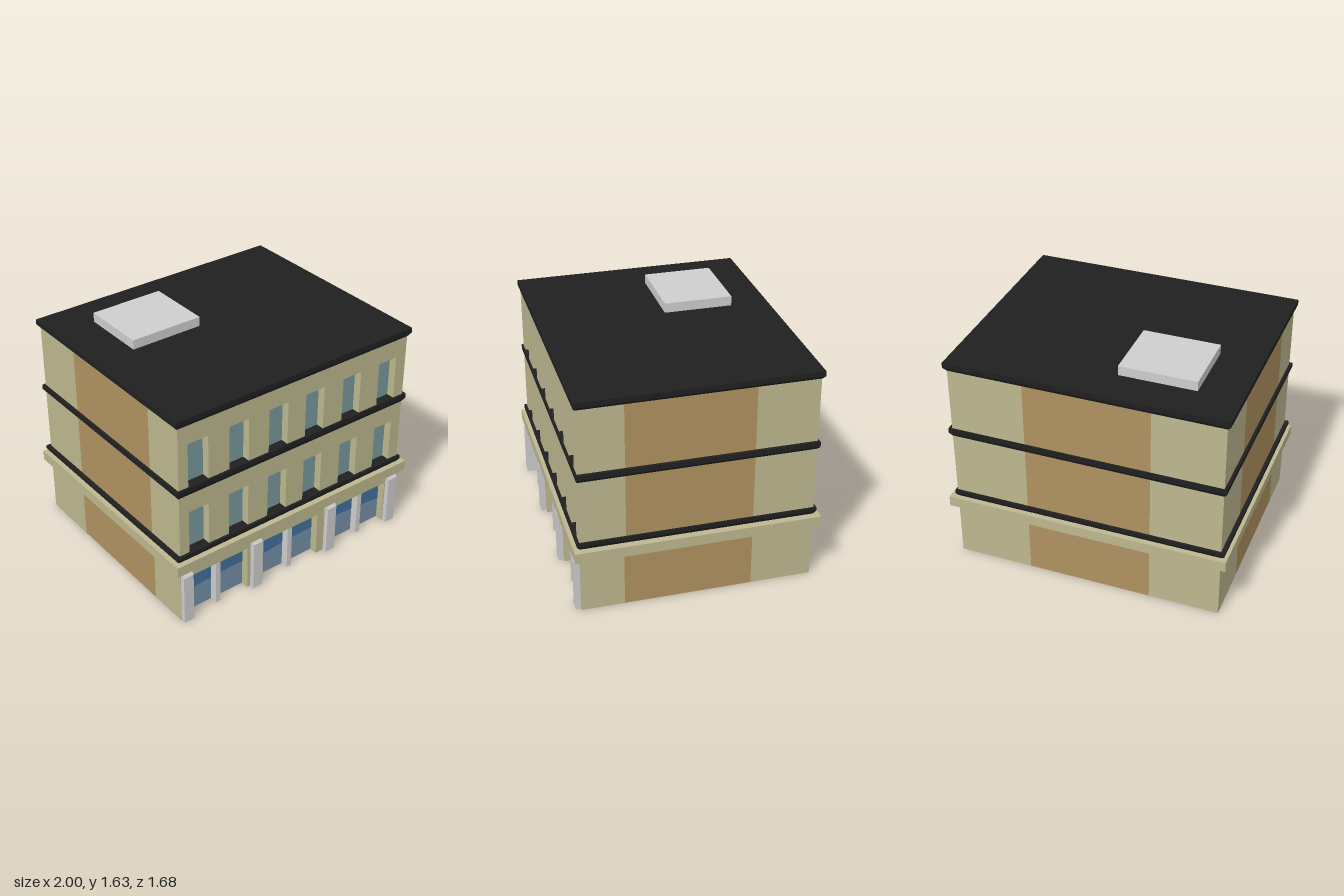
import * as THREE from 'three';

const mat = (name, color) => {
  const m = new THREE.MeshStandardMaterial({ color, side: THREE.DoubleSide });
  m.name = name;
  return m;
};

// Wall rectangle: left, right, back and front
const X0 = -0.955, X1 = 0.95, ZB = -0.8, ZF = 0.8, RECESS = 0.06;

export function createModel() {
  const root = new THREE.Group();
  root.name = 'building';
  const plaster = mat('beige plaster', 0xbdb890);
  const brick = mat('tan brick', 0xb09261);
  const trim = mat('black trim', 0x202020);
  const stone = mat('light grey stone', 0xcecece);
  const windowGlass = mat('teal glass', 0x79999c);
  const shopBlue = mat('deep blue glass', 0x41719e);
  const shopPale = mat('pale blue glass', 0x748fa8);

  const add = (name, geometry, material, parent = root) => {
    const mesh = new THREE.Mesh(geometry, material);
    mesh.name = name;
    parent.add(mesh);
    return mesh;
  };
  const block = (name, material, x0, x1, y0, y1, z0, z1, parent) => {
    const g = new THREE.BoxGeometry(x1 - x0, y1 - y0, z1 - z0);
    g.translate((x0 + x1) / 2, (y0 + y1) / 2, (z0 + z1) / 2);
    return add(name, g, material, parent);
  };

  // Front wall with openings that rise from its bottom edge
  const frontWall = (y0, y1, openings, head, parent) => {
    const a = X0 + 0.002, b = X1 - 0.002;
    const s = new THREE.Shape();
    s.moveTo(a, y0);
    for (const [l, r] of openings) {
      s.lineTo(l, y0);
      s.lineTo(l, head);
      s.lineTo(r, head);
      s.lineTo(r, y0);
    }
    s.lineTo(b, y0);
    s.lineTo(b, y1);
    s.lineTo(a, y1);
    s.closePath();
    const g = new THREE.ExtrudeGeometry(s, { depth: RECESS, bevelEnabled: false });
    g.translate(0, 0, ZF - RECESS);
    add('frontWall', g, plaster, parent);
  };

  // A straight wall split into plaster, brick, plaster along its length
  const stripedWall = (name, y0, y1, stops, place, parent) => {
    const wall = new THREE.Group();
    wall.name = name;
    for (let i = 0; i < 3; i++) {
      const g = new THREE.PlaneGeometry(stops[i + 1] - stops[i], y1 - y0);
      g.translate((stops[i] + stops[i + 1]) / 2, (y0 + y1) / 2, 0);
      add(i === 1 ? 'brickPanel' : 'plasterPanel', g, i === 1 ? brick : plaster, wall);
    }
    place(wall);
    parent.add(wall);
  };

  const storey = (name, y0, y1, openings, head, brickFront) => {
    const group = new THREE.Group();
    group.name = name;
    root.add(group);
    frontWall(y0, y1, openings, head, group);
    const sideStops = [-ZF, -brickFront, 0.375, -ZB];
    stripedWall('leftWall', y0, y1, sideStops, (w) => {
      w.rotation.y = Math.PI / 2;
      w.position.x = X1;
    }, group);
    stripedWall('rightWall', y0, y1, sideStops.map((v) => -v).reverse(), (w) => {
      w.rotation.y = -Math.PI / 2;
      w.position.x = X0;
    }, group);
    stripedWall('backWall', y0, y1, [-X1, -0.42, 0.46, -X0], (w) => {
      w.rotation.y = Math.PI;
      w.position.z = ZB;
    }, group);
    return group;
  };

  // Ground floor, open underneath
  const shops = [[-0.875, -0.4], [-0.265, 0.215], [0.38, 0.85]];
  const ground = storey('groundFloor', 0, 0.41, shops, 0.335, 0.505);

  // Shop windows: two tints meeting along a gentle curve
  const glassZ = ZF - RECESS + 0.002;
  shops.forEach(([l, r], i) => {
    const yl = i === 2 ? 0.192 : 0.165, yr = i === 2 ? 0.165 : 0.192;
    for (const [name, edge, material] of [
      ['shopGlassUpper', 0.335, shopBlue],
      ['shopGlassLower', 0, shopPale],
    ]) {
      const s = new THREE.Shape();
      s.moveTo(l, edge);
      s.lineTo(l, yl);
      s.quadraticCurveTo((l + r) / 2, 0.188, r, yr);
      s.lineTo(r, edge);
      s.closePath();
      add(name, new THREE.ShapeGeometry(s), material, ground).position.z = glassZ;
    }
  });
  for (const x of [-0.645, -0.03, 0.612]) {
    block('shopMullion', stone, x - 0.019, x + 0.019, 0, 0.334, 0.72, 0.797, ground);
  }

  // Pillars with a sloped top at the front
  const profile = new THREE.Shape([[-0.73, 0], [-0.835, 0], [-0.835, 0.37], [-0.802, 0.409], [-0.73, 0.409]]
    .map(([x, y]) => new THREE.Vector2(x, y)));
  for (const x of [-0.95, -0.375, 0.28, 0.857]) {
    const g = new THREE.ExtrudeGeometry(profile, { depth: 0.077, bevelEnabled: false });
    g.rotateY(Math.PI / 2);
    add('pillar', g, stone, ground).position.x = x;
  }

  // Ledge over the shops
  block('ledge', plaster, -1, 1, 0.41, 0.485, -0.84, 0.84);

  // Upper floors with recessed windows
  const windows = [-0.8, -0.48, -0.16, 0.145, 0.465, 0.785].map((x) => [x - 0.078, x + 0.078]);
  for (const [name, y0, y1] of [['secondFloor', 0.535, 0.99], ['thirdFloor', 1.05, 1.505]]) {
    const head = y0 + 0.32;
    const floor = storey(name, y0, y1, windows, head, 0.49);
    for (const [l, r] of windows) {
      block('windowPane', windowGlass, l, r, y0, head, glassZ - 0.006, glassZ, floor);
    }
  }

  // Cornices: slabs whose bottom edge tapers in to the wall
  const cornice = (name, y0, y1, x0, x1, zHalf) => {
    const g = new THREE.BoxGeometry(1, 1, 1, 1, 2, 1).toNonIndexed();
    const p = g.attributes.position;
    for (let i = 0; i < p.count; i++) {
      const low = p.getY(i) < -0.4, mid = Math.abs(p.getY(i)) < 0.1;
      const right = p.getX(i) > 0, front = p.getZ(i) > 0;
      p.setXYZ(i,
        low ? (right ? X1 : X0) : (right ? x1 : x0),
        low ? y0 : mid ? y0 + 0.025 : y1,
        (front ? 1 : -1) * (low ? ZF : zHalf));
    }
    g.computeVertexNormals();
    add(name, g, trim);
  };
  cornice('lowerCornice', 0.485, 0.537, -0.982, 0.962, 0.818);
  cornice('middleCornice', 0.99, 1.05, -0.975, 0.973, 0.812);
  cornice('roof', 1.505, 1.567, -0.978, 0.975, 0.815);

  // Rooftop unit
  block('rooftopUnit', stone, -0.68, -0.145, 1.56, 1.635, -0.55, -0.07);
  return root;
}
